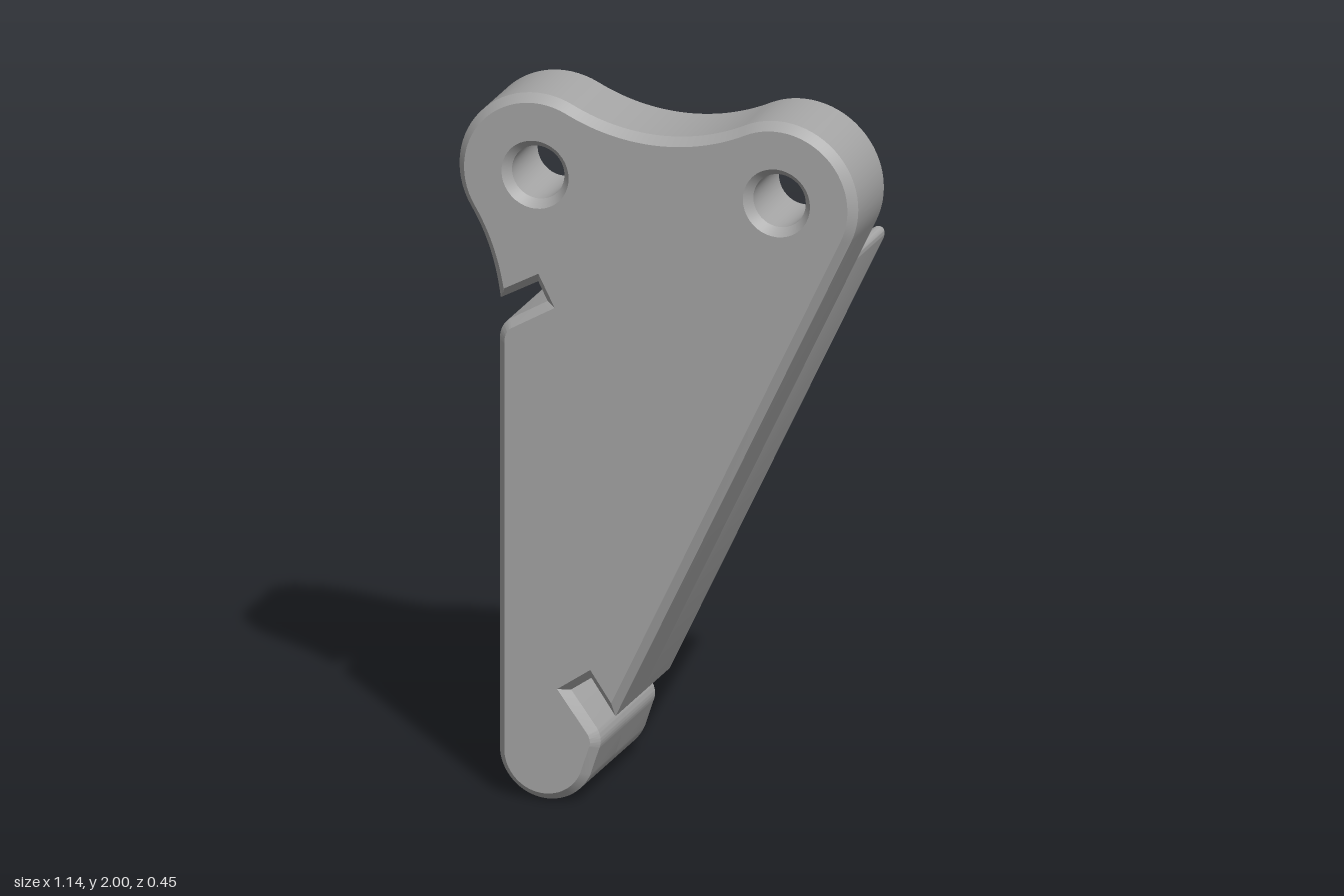
import * as THREE from 'three';
import { toCreasedNormals } from 'three/addons/utils/BufferGeometryUtils.js';

const rad = THREE.MathUtils.degToRad;
const CHAMFER = 0.022, FRONT = 0.225, LIP = 0.2;
const HOLES = [[-0.345, 1.775], [0.345, 1.775]];

// Rounded foot and lower hook notch, shared by both layers
function startOutline() {
  const s = new THREE.Shape();
  s.moveTo(-0.455, 0.135);
  s.absarc(-0.32, 0.135, 0.135, Math.PI, rad(337), false);
  s.lineTo(-0.172, 0.155);
  s.quadraticCurveTo(-0.158, 0.185, -0.178, 0.218);
  s.lineTo(-0.251, 0.317);
  s.lineTo(-0.193, 0.357);
  s.lineTo(-0.124, 0.256);
  return s;
}

// Upper side notch and shoulder, shared by both layers
function endOutline(s) {
  s.lineTo(-0.345, 1.465);
  s.lineTo(-0.318, 1.412);
  s.lineTo(-0.425, 1.35);
  s.quadraticCurveTo(-0.455, 1.33, -0.455, 1.285);
  s.lineTo(-0.455, 0.135);
  return s;
}

// Front layer: two lobes with a saddle between them
function frontOutline() {
  const s = startOutline();
  s.lineTo(0.548, 1.679);
  s.absarc(0.345, 1.775, 0.225, rad(-25.3), rad(116.1), false);
  s.absarc(0, 2.479, 0.559, rad(-63.9), rad(-116.1), true);
  s.absarc(-0.345, 1.775, 0.225, rad(63.9), rad(211.8), false);
  s.quadraticCurveTo(-0.47, 1.55, -0.452, 1.407);
  return endOutline(s);
}

// Back layer: wavy top edge that clears the lobes
function backOutline() {
  const s = startOutline();
  s.lineTo(0.488, 1.552);
  s.quadraticCurveTo(0.495, 1.585, 0.468, 1.581);
  s.absarc(0.345, 1.775, 0.23, rad(-57.6), rad(-116.1), true);
  s.absarc(0, 1.071, 0.554, rad(63.9), rad(116.1), false);
  s.absarc(-0.345, 1.775, 0.23, rad(-63.9), rad(-122.4), true);
  s.quadraticCurveTo(-0.495, 1.582, -0.483, 1.543);
  s.quadraticCurveTo(-0.4625, 1.4825, -0.452, 1.407);
  return endOutline(s);
}

// Sampled outline without repeated points
function samplePoints(shape) {
  const pts = shape.getPoints(14);
  return pts.filter((p, i) => p.distanceTo(pts[(i + 1) % pts.length]) > 0.001);
}

// Mitred inward offset of a counterclockwise loop
function inset(pts, d) {
  const n = pts.length;
  return pts.map((p, i) => {
    const a = p.clone().sub(pts[(i + n - 1) % n]).normalize();
    const b = pts[(i + 1) % n].clone().sub(p).normalize();
    const m = new THREE.Vector2(-a.y - b.y, a.x + b.x);
    return p.clone().addScaledVector(m, d / (1 + a.dot(b)));
  });
}

function circlePoints([x, y], r) {
  return Array.from({ length: 40 }, (_, i) => {
    const a = i / 40 * Math.PI * 2;
    return new THREE.Vector2(x + r * Math.cos(a), y + r * Math.sin(a));
  });
}

// Sloped band between an outer and an inner loop
function band(outer, zOuter, inner, zInner) {
  const v = [];
  outer.forEach((o, i) => {
    const j = (i + 1) % outer.length;
    const A = [o.x, o.y, zOuter], B = [outer[j].x, outer[j].y, zOuter];
    const C = [inner[j].x, inner[j].y, zInner], D = [inner[i].x, inner[i].y, zInner];
    v.push(...A, ...B, ...C, ...A, ...C, ...D);
  });
  const g = new THREE.BufferGeometry();
  g.setAttribute('position', new THREE.Float32BufferAttribute(v, 3));
  return toCreasedNormals(g, 0.5);
}

function shapeWithHoles(pts, r) {
  const s = new THREE.Shape(pts);
  s.holes = HOLES.map(c => new THREE.Path(circlePoints(c, r)));
  return s;
}

function slab(shape, z, depth) {
  const g = new THREE.ExtrudeGeometry(shape, { depth, bevelEnabled: false });
  return toCreasedNormals(g.translate(0, 0, z), 0.5);
}

export function createModel() {
  const group = new THREE.Group();
  const grey = new THREE.MeshStandardMaterial({ color: 0xa6a6a6 });
  grey.name = 'plain grey';
  const add = (name, geometry) => {
    const mesh = new THREE.Mesh(geometry, grey);
    mesh.name = name;
    group.add(mesh);
  };

  const outer = samplePoints(frontOutline());
  const inner = inset(outer, CHAMFER);

  add('frontPlate', slab(shapeWithHoles(outer, 0.075), 0, LIP));
  add('backPlate', slab(new THREE.Shape(samplePoints(backOutline())), -0.225, 0.225));
  add('edgeChamfer', band(outer, LIP, inner, FRONT));
  add('frontFace', new THREE.ShapeGeometry(shapeWithHoles(inner, 0.096)).translate(0, 0, FRONT));

  // Countersinks of the two holes
  HOLES.forEach((c, i) => add(i ? 'leftHoleChamfer' : 'rightHoleChamfer',
    band(circlePoints(c, 0.096), FRONT, circlePoints(c, 0.075), LIP)));
  return group;
}
